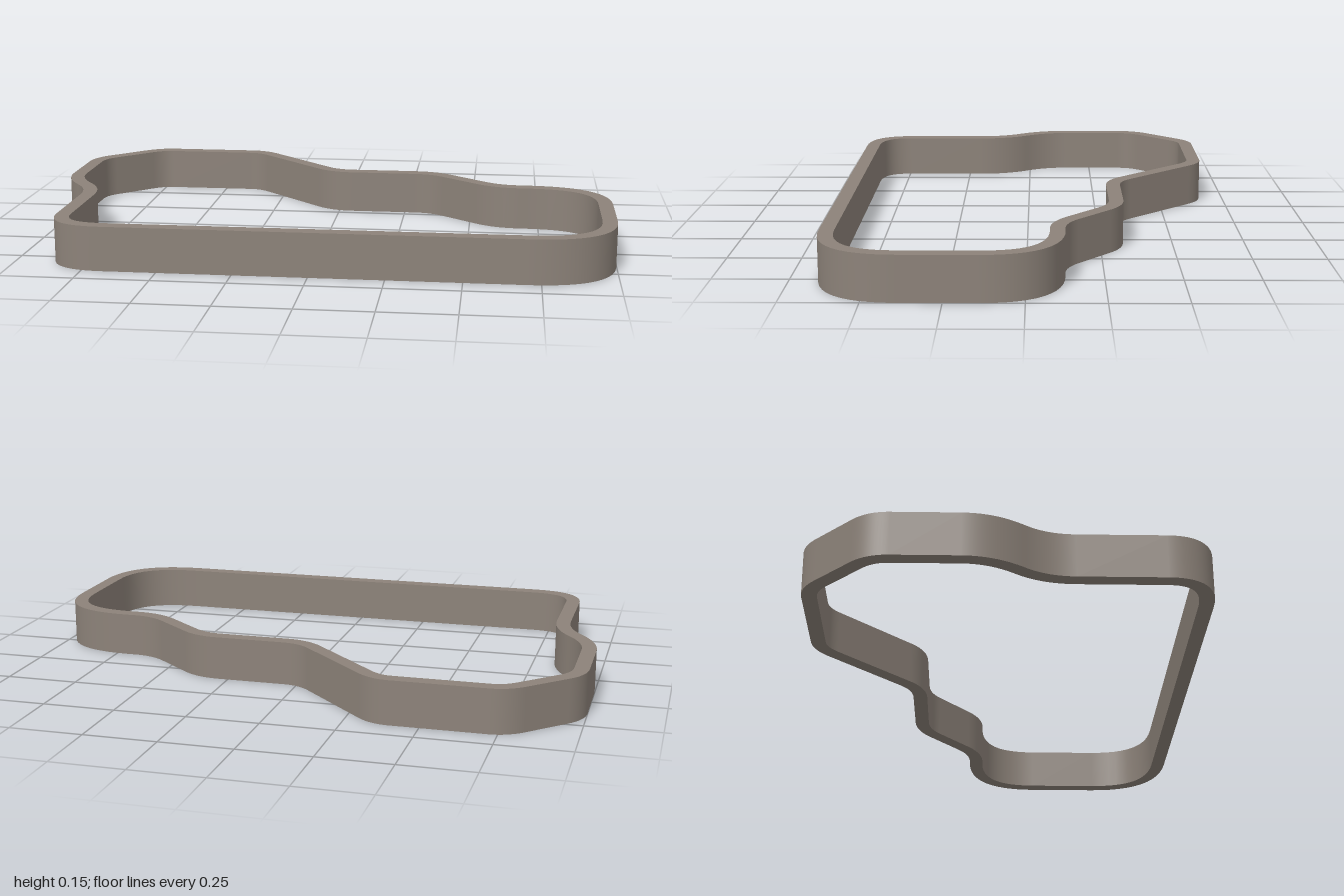
import * as THREE from 'three';

const HEIGHT = 0.15, HALF = 0.025, STEPS = 12;

// Wall centreline, clockwise from above: [x, z, rounding before corner, rounding after corner]
const CORNERS = [
  [-0.77, -0.635, 0.06, 0.05],
  [-0.35, -0.635, 0.05, 0.06],
  [-0.02, -0.305, 0.07, 0.07],
  [0.355, -0.305, 0.07, 0.07],
  [0.6, -0.1, 0.08, 0.08],
  [0.975, -0.1, 0.27, 0.24],
  [0.975, 0.635, 0.25, 0.27],
  [-0.85, 0.635, 0.17, 0.14],
  [-0.85, 0.11, 0.1, 0.09],
  [-0.975, -0.06, 0.1, 0.09],
  [-0.975, -0.43, 0.06, 0.06],
];

// Sample the rounded corners as points with outward normals
function centreline() {
  const pts = CORNERS.map(([x, z]) => new THREE.Vector2(x, z));
  const n = pts.length, path = [];
  pts.forEach((p, i) => {
    const toward = (q, d) => q.clone().sub(p).setLength(d).add(p);
    const a = toward(pts[(i + n - 1) % n], CORNERS[i][2]);
    const b = toward(pts[(i + 1) % n], CORNERS[i][3]);
    const curve = new THREE.QuadraticBezierCurve(a, p, b);
    for (let s = 0; s <= STEPS; s++) {
      const t = curve.getTangent(s / STEPS);
      path.push({ p: curve.getPoint(s / STEPS), n: new THREE.Vector2(t.y, -t.x) });
    }
  });
  return path;
}

// Sweep a rectangular section round the closed path: smooth along it, sharp at its edges
function sweepWall(path) {
  const section = [[HALF, 0], [HALF, HEIGHT], [-HALF, HEIGHT], [-HALF, 0]];
  const sideNormals = [[1, 0], [0, 1], [-1, 0], [0, -1]];
  const positions = [], normals = [], index = [];
  const count = path.length;
  for (let side = 0; side < 4; side++) {
    const base = positions.length / 3;
    const [out, up] = sideNormals[side];
    path.forEach(({ p, n }, i) => {
      for (const [offset, y] of [section[side], section[(side + 1) % 4]]) {
        positions.push(p.x + n.x * offset, y, p.y + n.y * offset);
        normals.push(n.x * out, up, n.y * out);
      }
      const a = base + i * 2, c = base + ((i + 1) % count) * 2;
      index.push(a, a + 1, c, a + 1, c + 1, c);
    });
  }
  const geometry = new THREE.BufferGeometry();
  geometry.setAttribute('position', new THREE.Float32BufferAttribute(positions, 3));
  geometry.setAttribute('normal', new THREE.Float32BufferAttribute(normals, 3));
  geometry.setIndex(index);
  return geometry;
}

export function createModel() {
  const stone = new THREE.MeshStandardMaterial({ color: 0x8c8279 });
  stone.name = 'warm grey stone';
  const group = new THREE.Group();
  group.name = 'wallRing';
  const wall = new THREE.Mesh(sweepWall(centreline()), stone);
  wall.name = 'perimeterWall';
  group.add(wall);
  return group;
}
